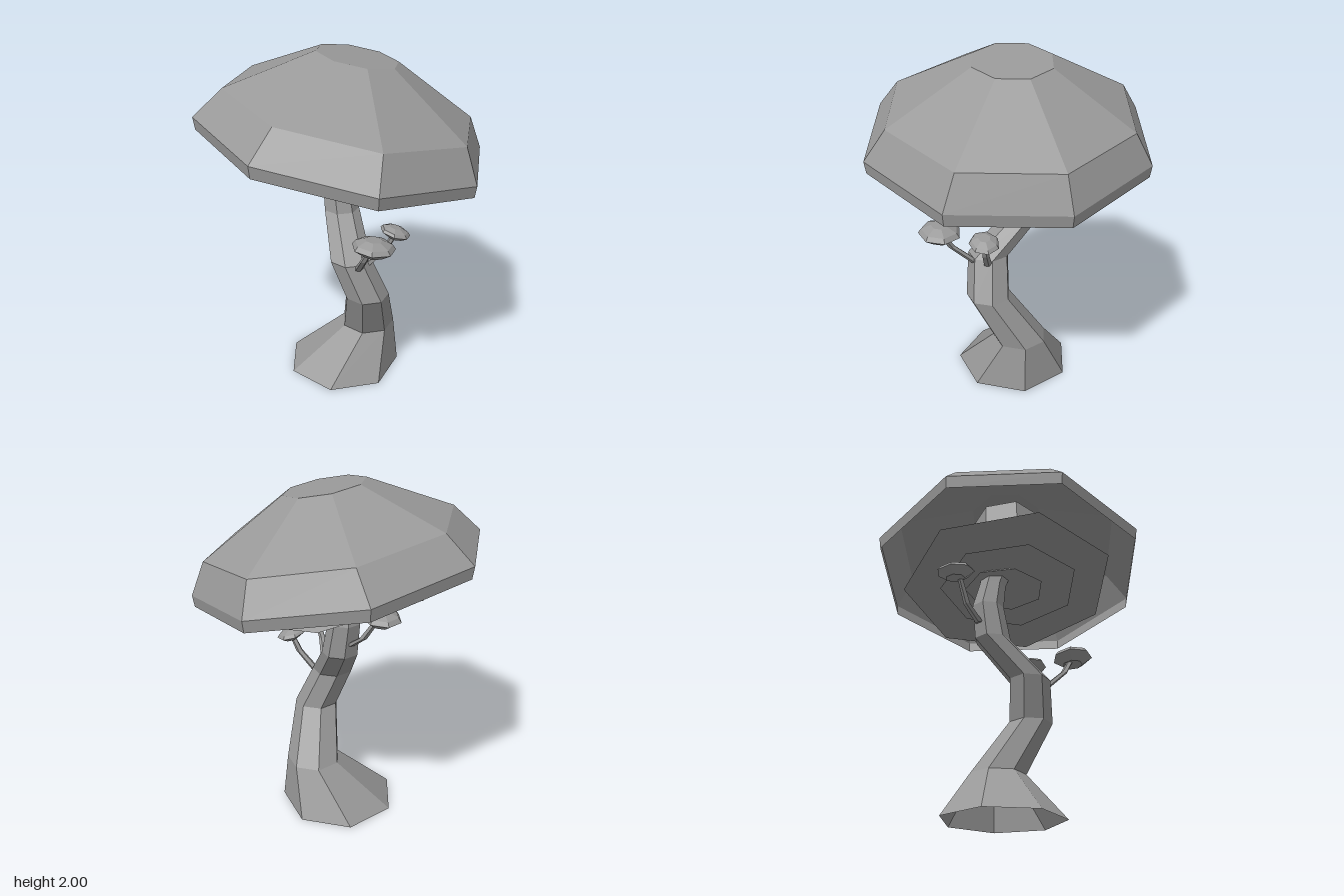
import * as THREE from 'three';

const material = new THREE.MeshStandardMaterial({ color: 0x999999, flatShading: true, side: THREE.DoubleSide });

// Skins rings [x, y, z, radius], listed upwards; slopeX and slopeZ tilt every ring
function loft(name, rings, { sides = 7, phase = 0, slopeX = 0, slopeZ = 0, bottom = false, top = false } = {}) {
  const pos = [];
  const point = ([x, y, z, r], j) => {
    const a = phase + (j / sides) * Math.PI * 2;
    const dx = r * Math.cos(a), dz = r * Math.sin(a);
    return [x + dx, y + slopeX * dx + slopeZ * dz, z + dz];
  };
  const first = rings[0], last = rings[rings.length - 1];
  for (let j = 0; j < sides; j++) {
    for (let i = 0; i < rings.length - 1; i++) {
      const a = point(rings[i], j), b = point(rings[i], j + 1);
      const c = point(rings[i + 1], j), d = point(rings[i + 1], j + 1);
      pos.push(...a, ...c, ...b, ...b, ...c, ...d);
    }
    if (bottom) pos.push(...first.slice(0, 3), ...point(first, j), ...point(first, j + 1));
    if (top) pos.push(...last.slice(0, 3), ...point(last, j + 1), ...point(last, j));
  }
  const geometry = new THREE.BufferGeometry();
  geometry.setAttribute('position', new THREE.Float32BufferAttribute(pos, 3));
  geometry.computeVertexNormals();
  const mesh = new THREE.Mesh(geometry, material);
  mesh.name = name;
  return mesh;
}

// Small side mushroom: bent stalk path with a tilted cap on its end
function sprout(name, path, [x, y, z, r], slopeX, slopeZ) {
  const group = new THREE.Group();
  group.name = name;
  const stalk = path.map(([px, py, pz], i) => [px, py, pz, 0.025 - 0.004 * i]);
  group.add(loft('stalk', stalk, { sides: 5, bottom: true, top: true }));
  group.add(loft('smallCap', [
    [x, y - r * 0.36, z, r * 0.5],
    [x, y, z, r],
    [x, y + r * 0.2, z, r * 0.85],
    [x, y + r * 0.4, z, r * 0.4],
  ], { slopeX, slopeZ, bottom: true, top: true }));
  return group;
}

export function createModel() {
  const model = new THREE.Group();
  model.name = 'mushroomTree';

  // Winding seven-sided trunk with a flared foot, open underneath
  model.add(loft('trunk', [
    [0.002, 0, -0.036, 0.348],
    [0.156, 0.285, -0.026, 0.162],
    [0.12, 0.59, 0.158, 0.13],
    [0.023, 0.82, 0.127, 0.121],
    [-0.002, 1.04, -0.103, 0.106],
    [-0.022, 1.24, -0.138, 0.094],
    [-0.032, 1.38, -0.115, 0.08],
    [-0.022, 1.5, -0.08, 0.092],
  ], { phase: -Math.PI / 4, top: true }));

  // Large tilted eight-sided cap, open below
  model.add(loft('cap', [
    [0, 1.473, 0, 0.8],
    [0, 1.54, 0, 0.81],
    [0.045, 1.707, 0, 0.692],
    [0.075, 1.962, 0, 0.227],
  ], { sides: 8, slopeX: -0.18, slopeZ: -0.04, phase: -0.09, top: true }));

  // Nested gill plates: shallow hollow underside, bevelled rim, the widest rising into the cap
  const gills = [
    [-0.185, [[0, 1.48, -0.05, 0.05], [0.018, 1.422, 0, 0.638], [0.02, 1.475, 0, 0.55],
      [0.03, 1.6, 0, 0.23], [0.06, 1.9, 0, 0.22]]],
    [-0.12, [[0, 1.45, -0.05, 0.05], [0, 1.41, 0, 0.42], [0, 1.45, 0, 0.36]]],
    [-0.04, [[-0.01, 1.43, -0.08, 0.05], [0, 1.393, -0.03, 0.24], [0, 1.43, -0.03, 0.19]]],
  ];
  gills.forEach(([slopeX, rings], i) =>
    model.add(loft('gill' + (i + 1), rings, { slopeX, phase: Math.PI })));

  // Small mushrooms sprouting from the trunk
  model.add(sprout('frontSprout',
    [[0.06, 0.79, 0.22], [0.07, 0.92, 0.36], [0.1, 1.025, 0.42]], [0.112, 1.04, 0.432, 0.121], -0.1, 0.03));
  model.add(sprout('sideSprout',
    [[0.12, 0.79, 0.16], [0.22, 0.91, 0.2], [0.26, 1.0, 0.22]], [0.267, 1.018, 0.22, 0.086], -0.28, 0));
  model.add(sprout('backSprout',
    [[-0.05, 1.12, -0.19], [-0.11, 1.2, -0.28], [-0.165, 1.31, -0.33], [-0.18, 1.34, -0.35]],
    [-0.19, 1.355, -0.37, 0.11], 0.08, 0.1));

  return model;
}
